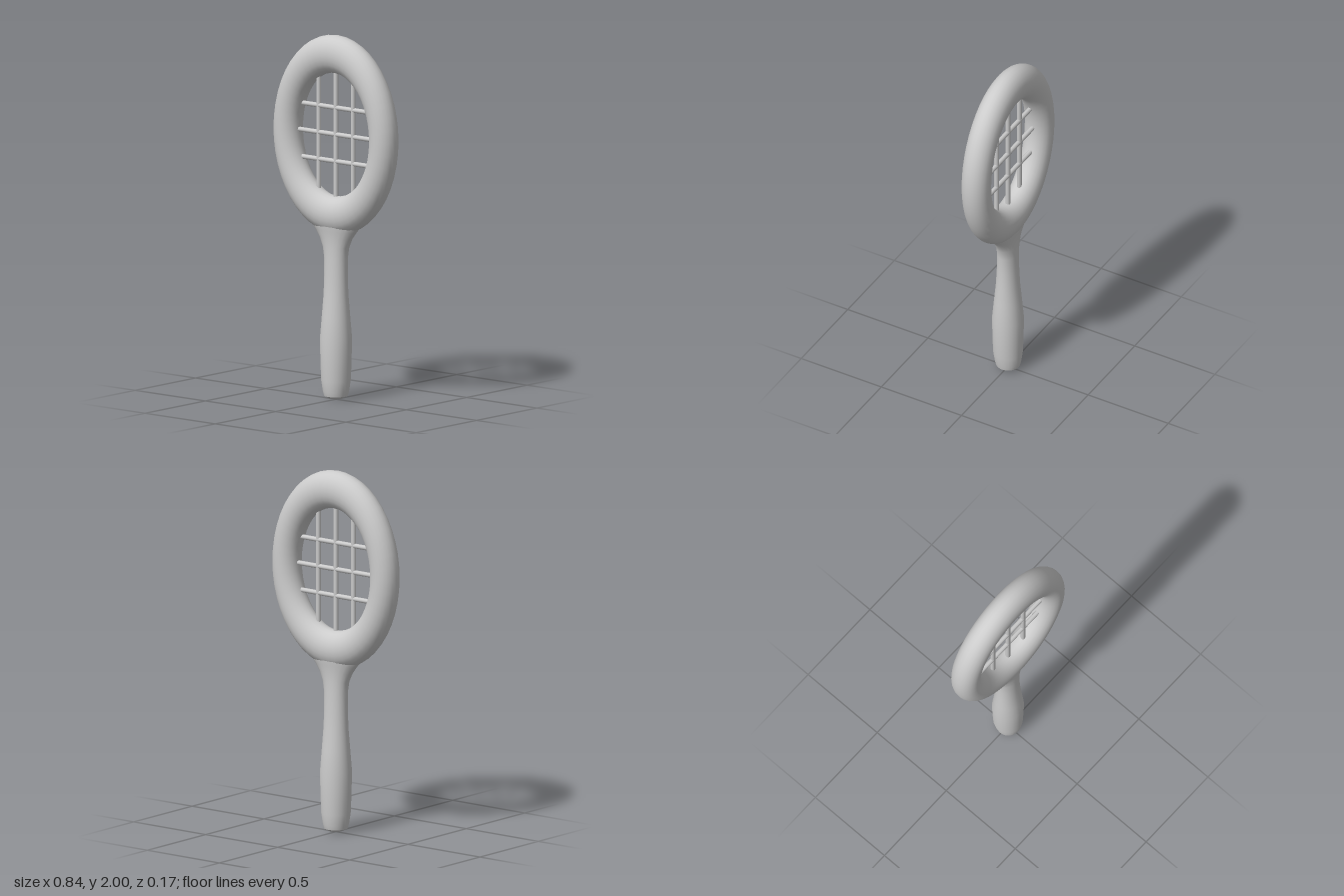
import * as THREE from 'three';
import { mergeVertices } from 'three/addons/utils/BufferGeometryUtils.js';

const CENTRE = 1.455; // height of the middle of the head

export function createModel() {
  const group = new THREE.Group();
  const material = new THREE.MeshStandardMaterial({ color: 0xcccccc });
  const add = (name, geometry) => {
    const mesh = new THREE.Mesh(geometry, material);
    mesh.name = name;
    group.add(mesh);
    return mesh;
  };

  // Oval rim: a torus stretched upwards
  const rim = new THREE.TorusGeometry(0.34, 0.08, 24, 48);
  rim.scale(1, 1.298, 1);
  add('rim', rim).position.y = CENTRE;

  // Grip and neck: oval cross-sections [y, half width, half depth]
  const sections = [
    [0.025, 0.064, 0.066], [0.05, 0.07, 0.073], [0.11, 0.08, 0.081],
    [0.22, 0.085, 0.084], [0.34, 0.088, 0.086], [0.46, 0.079, 0.075],
    [0.58, 0.071, 0.063], [0.68, 0.068, 0.058], [0.78, 0.07, 0.055],
    [0.84, 0.082, 0.055], [0.89, 0.107, 0.057], [0.93, 0.138, 0.062],
    [0.97, 0.174, 0.068], [1.01, 0.2, 0.072], [1.05, 0.18, 0.05],
  ];
  const sides = 24;
  let handle = new THREE.LatheGeometry(sections.map(([y, w]) => new THREE.Vector2(w, y)), sides);
  const pos = handle.attributes.position;
  for (let i = 0; i < pos.count; i++) {
    const [, w, d] = sections[i % sections.length];
    pos.setZ(i, pos.getZ(i) * d / w);
  }
  handle.deleteAttribute('uv');
  handle.deleteAttribute('normal');
  handle = mergeVertices(handle);
  handle.computeVertexNormals();
  add('handle', handle);

  // Shallow domed end of the grip
  const butt = new THREE.LatheGeometry(
    [[0, 0.004], [0.035, 0.01], [0.064, 0.025]].map(([x, y]) => new THREE.Vector2(x, y)), sides);
  butt.scale(1, 1, 0.066 / 0.064);
  add('gripEnd', butt);

  // Strings, each ending just inside the rim
  for (const k of [-1, 0, 1]) {
    const x = k * 0.122;
    const y = k * 0.147;
    const tall = 2 * 0.335 * Math.sqrt(1 - (x / 0.26) ** 2) + 0.04;
    const wide = 2 * 0.26 * Math.sqrt(1 - (y / 0.335) ** 2) + 0.04;
    add('verticalString', new THREE.CylinderGeometry(0.013, 0.013, tall, 10)).position.set(x, CENTRE, 0);
    const across = add('crossString', new THREE.CylinderGeometry(0.013, 0.013, wide, 10));
    across.rotation.z = Math.PI / 2;
    across.position.set(0, CENTRE + y, 0);
  }

  return group;
}
